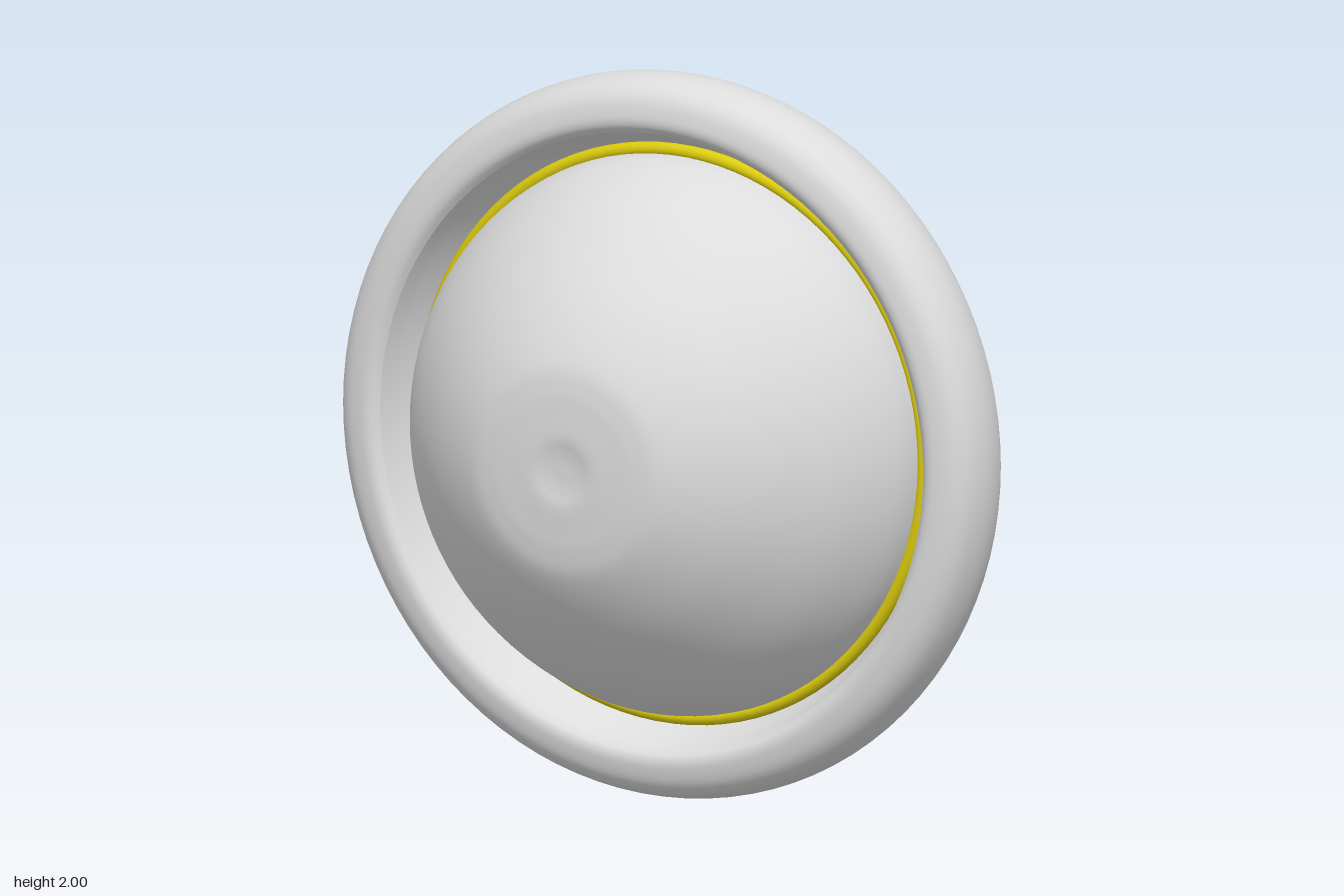
import * as THREE from 'three';

const grey = new THREE.MeshStandardMaterial({ color: 0xdcdcdc, side: THREE.DoubleSide });
grey.name = 'pale grey';
const yellow = new THREE.MeshStandardMaterial({ color: 0xdccc0e, side: THREE.DoubleSide });
yellow.name = 'yellow';

// Smooth profile of [radius, z] points spun around the z axis
function spin(name, material, points, divisions) {
  const curve = new THREE.SplineCurve(points.map(([r, z]) => new THREE.Vector2(r, z)));
  const profile = curve.getPoints(divisions);
  profile.forEach((p) => { p.x = Math.max(p.x, 0); });
  const geometry = new THREE.LatheGeometry(profile, 96);
  geometry.rotateX(Math.PI / 2);
  const mesh = new THREE.Mesh(geometry, material);
  mesh.name = name;
  mesh.position.y = 1;
  return mesh;
}

export function createModel() {
  const model = new THREE.Group();
  model.name = 'domedDisc';

  // Front dome with a shallow dimple at its tip
  model.add(spin('frontDome', grey, [
    [0.775, -0.15], [0.765, -0.08], [0.735, 0], [0.68, 0.1], [0.6, 0.2], [0.5, 0.3],
    [0.4, 0.375], [0.3, 0.43], [0.23, 0.447], [0.16, 0.453], [0.1, 0.456],
    [0.06, 0.451], [0.03, 0.448], [0, 0.448],
  ], 80));

  // Thick rounded ring: back, outside and front
  model.add(spin('outerRing', grey, [
    [0.775, -0.22], [0.79, -0.25], [0.82, -0.264], [0.86, -0.27], [0.9, -0.27],
    [0.95, -0.255], [0.985, -0.215], [1, -0.14], [0.985, -0.065],
    [0.95, -0.025], [0.9, -0.01], [0.87, -0.013], [0.85, -0.03],
  ], 72));

  // Tapered inside of the ring
  model.add(spin('ringInnerWall', grey, [[0.85, -0.03], [0.83, -0.09], [0.795, -0.17]], 12));

  // Shallow back cap, a slice of a large sphere
  const radius = 1.578;
  const cap = [];
  for (let i = 0; i <= 16; i++) {
    const r = (0.79 * i) / 16;
    cap.push([r, -0.465 + radius - Math.sqrt(radius * radius - r * r)]);
  }
  model.add(spin('backCap', yellow, cap, 32));

  // Yellow bead around the foot of the dome
  const bead = new THREE.Mesh(new THREE.TorusGeometry(0.783, 0.02, 12, 96), yellow);
  bead.name = 'rimBead';
  bead.position.set(0, 1, -0.15);
  model.add(bead);

  return model;
}
